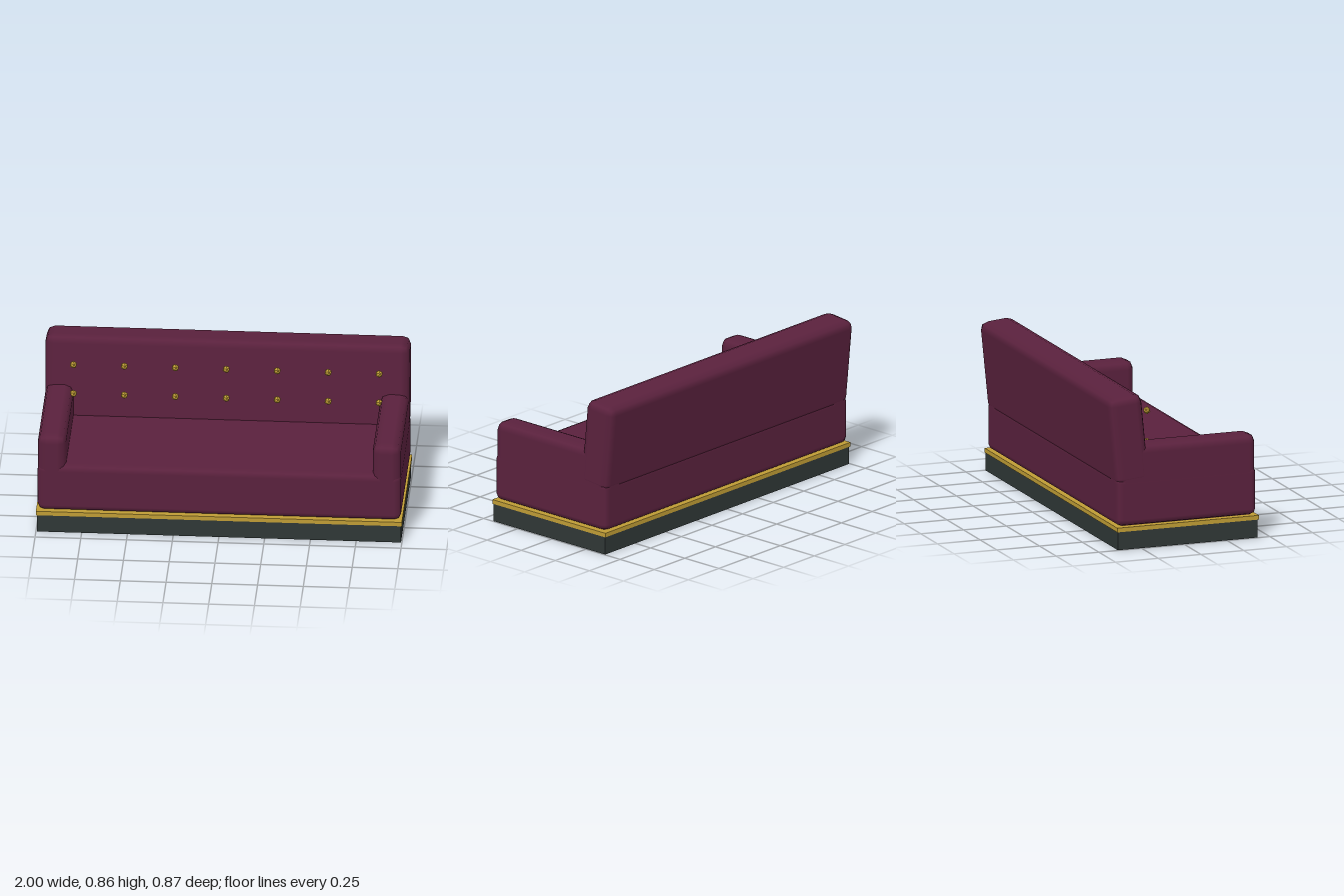
import * as THREE from 'three';
import { RoundedBoxGeometry } from 'three/addons/geometries/RoundedBoxGeometry.js';

const material = (name, color) => {
  const m = new THREE.MeshStandardMaterial({ color });
  m.name = name;
  return m;
};

export function createModel() {
  const velvet = material('burgundy velvet', 0x5a213d);
  const brass = material('brass', 0xbf9c35);
  const plinthPaint = material('dark slate', 0x2f3736);

  const group = new THREE.Group();
  group.name = 'sofa';

  const add = (name, geometry, mat, x, y, z) => {
    const mesh = new THREE.Mesh(geometry, mat);
    mesh.name = name;
    mesh.position.set(x, y, z);
    group.add(mesh);
    return mesh;
  };
  // Upholstered block with a two-step rounded edge
  const cushion = (w, h, d, r) => new RoundedBoxGeometry(w, h, d, 1, r);

  // Plinth and brass trim
  add('plinth', new THREE.BoxGeometry(1.99, 0.102, 0.818), plinthPaint, 0, 0.051, 0.022);
  add('trim', new THREE.BoxGeometry(2, 0.024, 0.828), brass, 0, 0.113, 0.022);

  // Seat
  add('seat', cushion(1.986, 0.276, 0.816, 0.036), velvet, 0, 0.263, 0.022);

  // Leaning backrest
  const back = add('backrest', cushion(1.99, 0.5, 0.198, 0.045), velvet, 0, 0.603, -0.312);
  back.rotation.x = -0.1;

  // Arms
  for (const [side, name] of [[1, 'leftArm'], [-1, 'rightArm']]) {
    add(name, cushion(0.154, 0.34, 0.816, 0.047), velvet, side * 0.915, 0.408, 0.022);
  }

  // Two rows of faceted buttons, one corner pointing up
  const buttonGeometry = new THREE.IcosahedronGeometry(0.0215, 0);
  buttonGeometry.rotateZ(-0.5536);
  for (const y of [0.553, 0.729]) {
    for (let i = -3; i <= 3; i++) {
      add('button', buttonGeometry, brass, i * 0.2785, y, -0.156);
    }
  }
  return group;
}
